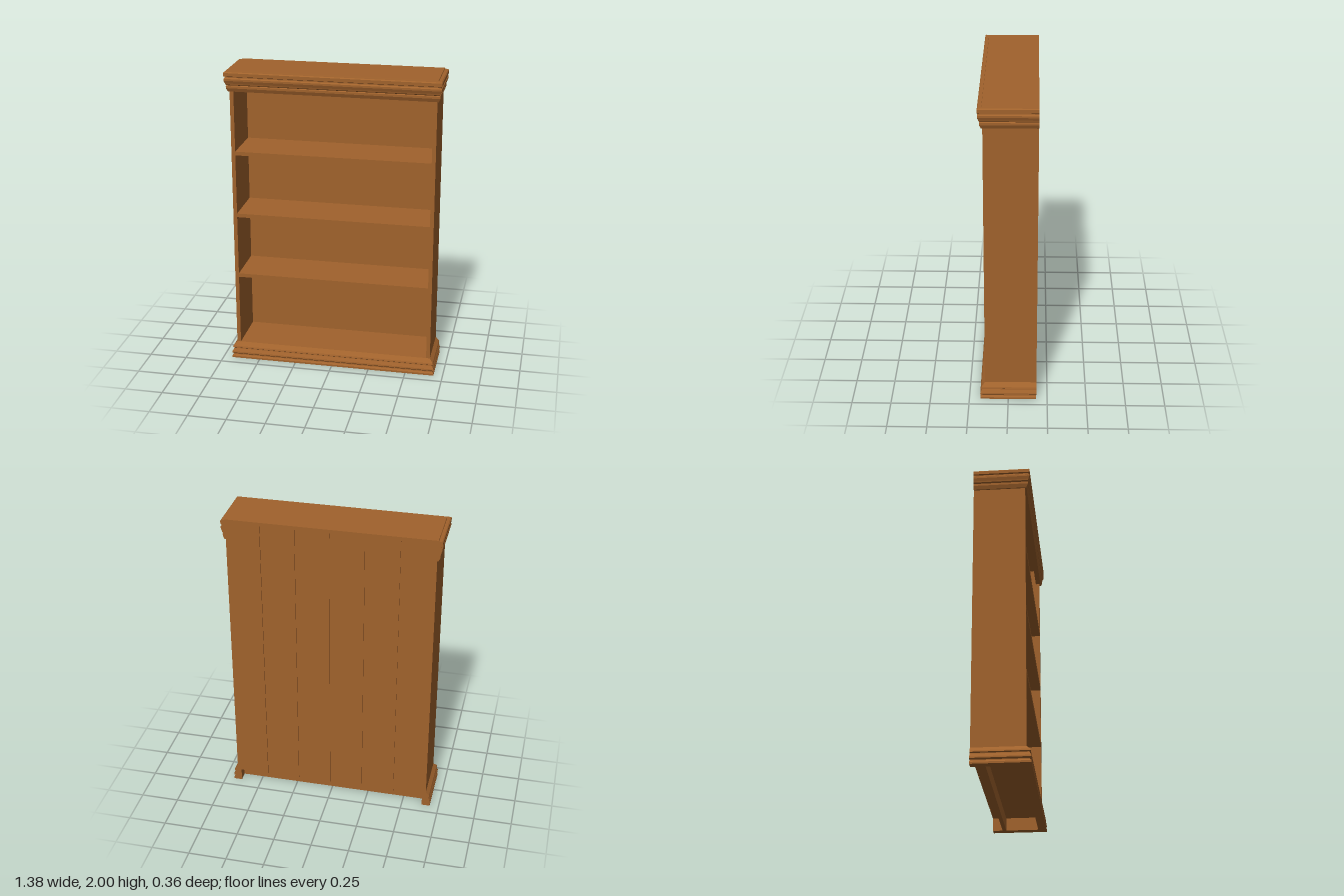
import * as THREE from 'three';

const HALF = 0.66, FRONT = 0.15, BACK = -0.18, T = 0.025;

// Mitred moulding around the left, front and right; profile = [outward offset, y], bottom to top
function mouldingGeometry(profile) {
  const pos = [];
  const at = (i, j) => {
    const [o, y] = profile[i];
    const x = (HALF + o) * (j < 2 ? -1 : 1);
    return [x, y, j === 0 || j === 3 ? BACK : FRONT + o];
  };
  for (let j = 0; j < 3; j++) {
    for (let i = 0; i < profile.length - 1; i++) {
      const a = at(i, j), b = at(i, j + 1), c = at(i + 1, j + 1), d = at(i + 1, j);
      pos.push(...a, ...b, ...c, ...a, ...c, ...d);
    }
  }
  // Cut ends at the back
  const contour = profile.map(([o, y]) => new THREE.Vector2(o, y));
  for (const [a, b, c] of THREE.ShapeUtils.triangulateShape(contour, [])) {
    pos.push(...at(a, 0), ...at(b, 0), ...at(c, 0));
    pos.push(...at(a, 3), ...at(c, 3), ...at(b, 3));
  }
  const geometry = new THREE.BufferGeometry();
  geometry.setAttribute('position', new THREE.Float32BufferAttribute(pos, 3));
  geometry.computeVertexNormals();
  return geometry;
}

export function createModel() {
  const model = new THREE.Group();
  model.name = 'bookcase';
  const wood = new THREE.MeshStandardMaterial({ color: 0xa0622c });
  wood.name = 'brown wood';

  const add = (name, geometry) => {
    const mesh = new THREE.Mesh(geometry, wood);
    mesh.name = name;
    model.add(mesh);
    return mesh;
  };
  // Box given by its limits on each axis
  const board = (name, x0, x1, y0, y1, z0, z1) =>
    add(name, new THREE.BoxGeometry(x1 - x0, y1 - y0, z1 - z0))
      .position.set((x0 + x1) / 2, (y0 + y1) / 2, (z0 + z1) / 2);

  const inner = HALF - T;

  // Carcass
  board('leftSide', inner, HALF, 0, 1.975, BACK, FRONT);
  board('rightSide', -HALF, -inner, 0, 1.975, BACK, FRONT);
  board('topBoard', -HALF, HALF, 1.975, 2, BACK, FRONT);
  board('header', -inner, inner, 1.865, 1.975, FRONT - T, FRONT);
  board('toeBoard', -inner, inner, 0, 0.085, FRONT - T, FRONT);
  board('rearBaseRail', -inner, inner, 0, 0.085, -0.115, -0.09);

  // Bottom board and shelves
  [0.085, 0.59, 1.016, 1.441].forEach((y, i) =>
    board(i ? 'shelf' + i : 'bottomBoard', -inner, inner, y, y + T, -0.166, FRONT));

  // Back: thin panel with six planks separated by narrow grooves
  board('backPanel', -inner, inner, 0.085, 1.975, -0.172, -0.166);
  const plank = 2 * HALF / 6, gap = 0.003;
  for (let i = 0; i < 6; i++) {
    const x0 = i === 0 ? -inner : -HALF + i * plank + gap;
    const x1 = i === 5 ? inner : -HALF + (i + 1) * plank - gap;
    board('backPlank' + (i + 1), x0, x1, 0.085, 1.975, BACK, -0.172);
  }

  // Stepped mouldings
  add('baseMoulding', mouldingGeometry([
    [0, 0], [0.03, 0], [0.03, 0.012], [0.021, 0.022], [0.021, 0.028], [0.03, 0.036],
    [0.029, 0.045], [0.018, 0.066], [0.018, 0.07], [0.025, 0.075], [0.022, 0.085], [0, 0.11],
  ]));
  add('crownMoulding', mouldingGeometry([
    [0, 1.865], [0.008, 1.865], [0.018, 1.888], [0.018, 1.902], [0.012, 1.906], [0.02, 1.912],
    [0.022, 1.92], [0.029, 1.938], [0.029, 1.95], [0.022, 1.957], [0.022, 1.963],
    [0.03, 1.967], [0.03, 1.988], [0.024, 1.994], [0.005, 1.994], [0.003, 2], [0, 2],
  ]));

  return model;
}
